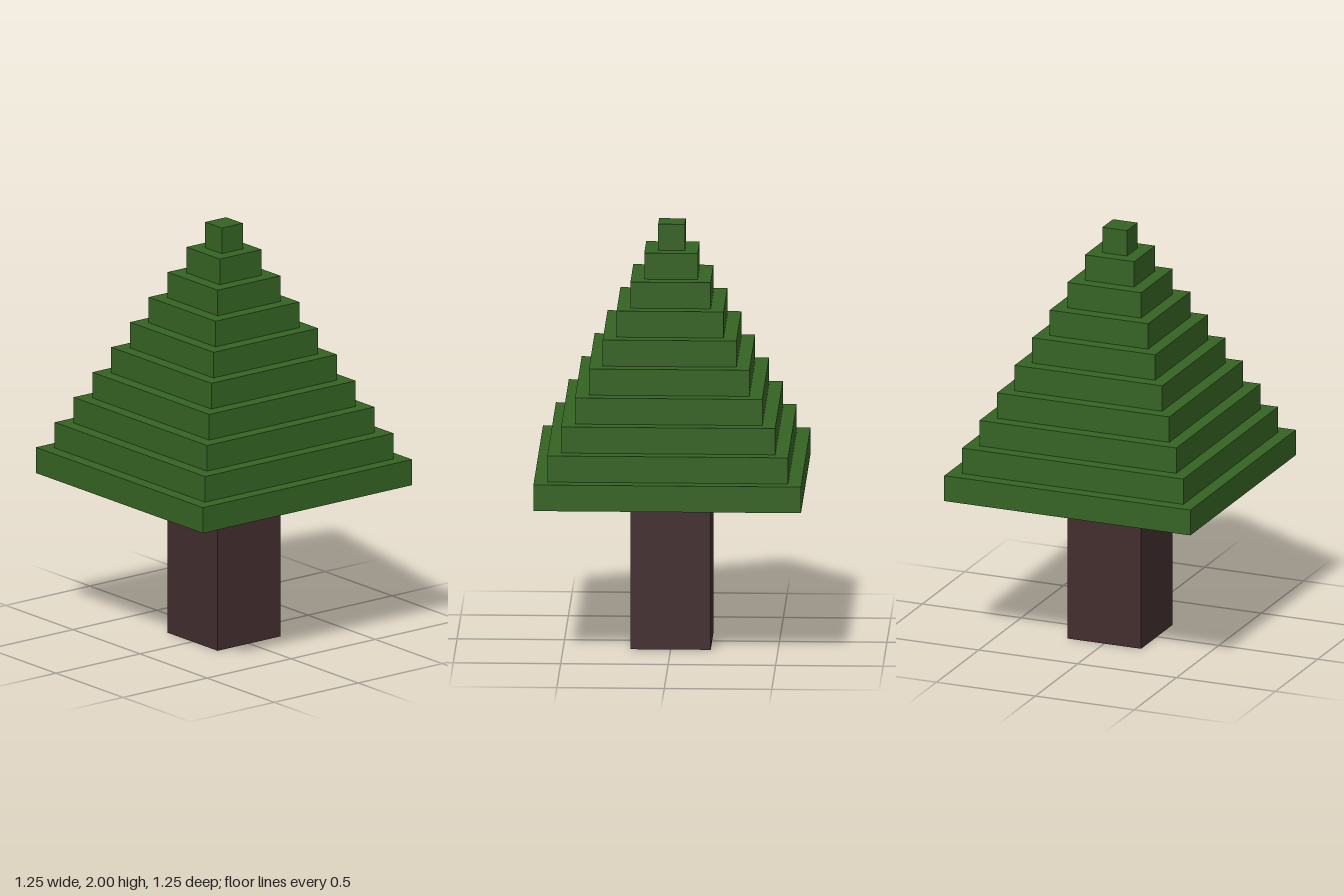
import * as THREE from 'three';

export function createModel() {
  const tree = new THREE.Group();
  tree.name = 'steppedTree';

  const leafGreen = new THREE.MeshStandardMaterial({ color: 0x356323 });
  leafGreen.name = 'leafGreen';
  const barkBrown = new THREE.MeshStandardMaterial({ color: 0x422d2e });
  barkBrown.name = 'barkBrown';

  const step = 0.1245; // height of one tier, and the growth in width per tier
  const tiers = 10;
  const trunkHeight = 2 - tiers * step;

  // Square block standing on the given height
  function block(name, width, height, bottom, material) {
    const mesh = new THREE.Mesh(new THREE.BoxGeometry(width, height, width), material);
    mesh.name = name;
    mesh.position.y = bottom + height / 2;
    return mesh;
  }

  // Trunk
  tree.add(block('trunk', 3 * step, trunkHeight, 0, barkBrown));

  // Foliage: square tiers narrowing to the tip
  const foliage = new THREE.Group();
  foliage.name = 'foliage';
  for (let i = 0; i < tiers; i++) {
    foliage.add(block(`foliageTier${i + 1}`, (tiers - i) * step, step, trunkHeight + i * step, leafGreen));
  }
  tree.add(foliage);

  return tree;
}
